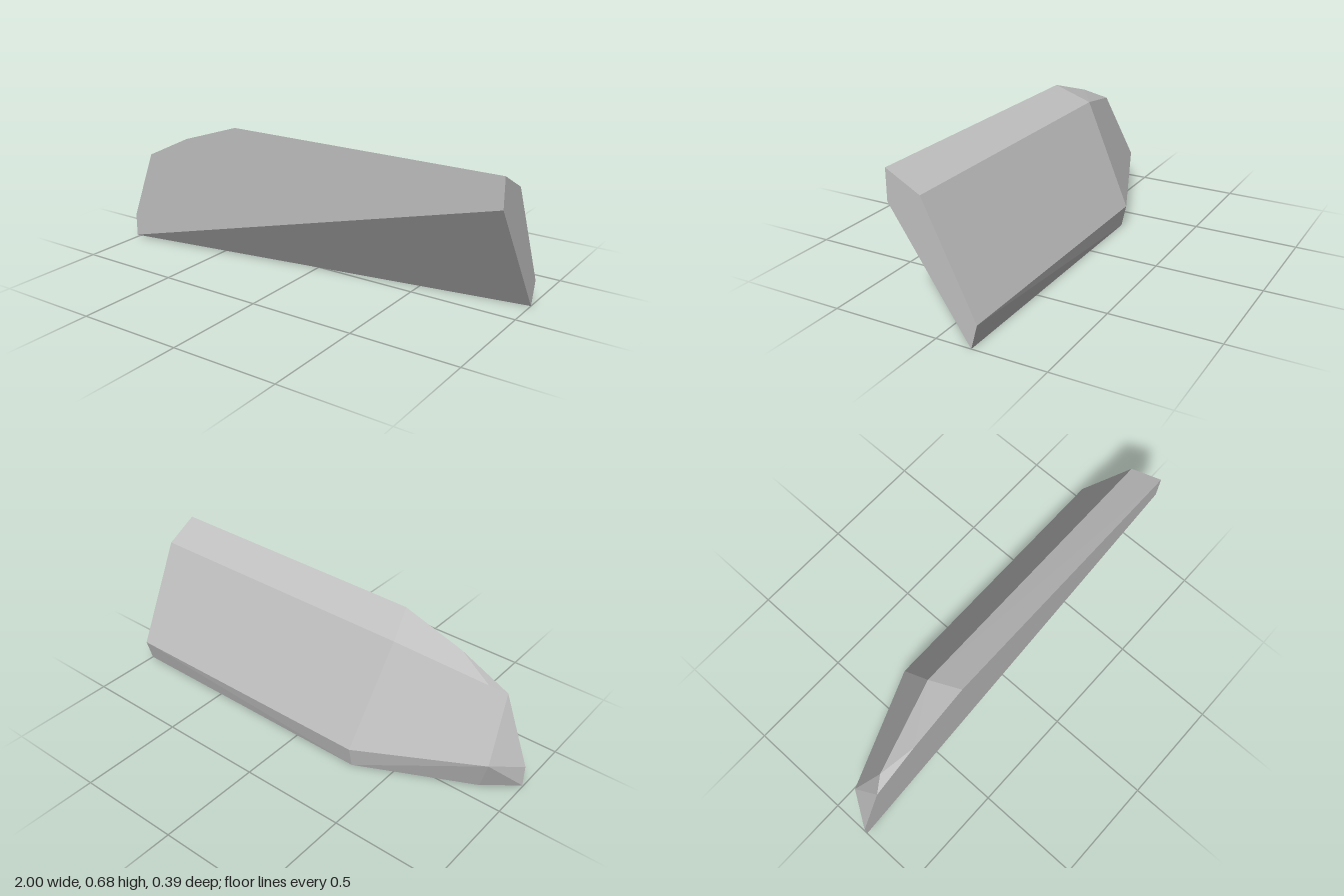
import * as THREE from 'three';
import { ConvexGeometry } from 'three/addons/geometries/ConvexGeometry.js';

const FRONT = 0.195; // flat front plane
const END = 1;       // flat end plane

export function createModel() {
  const group = new THREE.Group();
  group.name = 'facetedWedge';

  const grey = new THREE.MeshStandardMaterial({ color: 0xbfbfbf });
  grey.name = 'light grey';

  // flat front outline, from the lower tip over the top to the far end
  const front = [
    [-1, 0.01], [-1, 0.12], [-0.87, 0.46], [-0.63, 0.575],
    [-0.33, 0.673], [END, 0.678], [END, 0.54],
  ].map(([x, y]) => [x, y, FRONT]);

  // flat end outline behind the front plane
  const end = [[0.595, 0.04], [0.11, -0.195], [0, -0.165]].map(([y, z]) => [END, y, z]);

  // upper ridge, back corners and bottom corners of the tapered nose
  const nose = [
    [-0.38, 0.595, 0.04], [-0.8, 0.495, 0.15],
    [-0.33, 0.11, -0.195], [-0.9, 0.17, 0.043],
    [-0.33, 0.004, -0.172], [-0.85, 0.006, 0.08], [-0.89, 0.072, 0.085],
  ];

  // convex body; the slanted underside is the plane through tip, front and end
  const points = [...front, ...end, ...nose].map((p) => new THREE.Vector3(...p));
  const body = new THREE.Mesh(new ConvexGeometry(points), grey);
  body.name = 'wedgeBody';
  group.add(body);
  return group;
}
